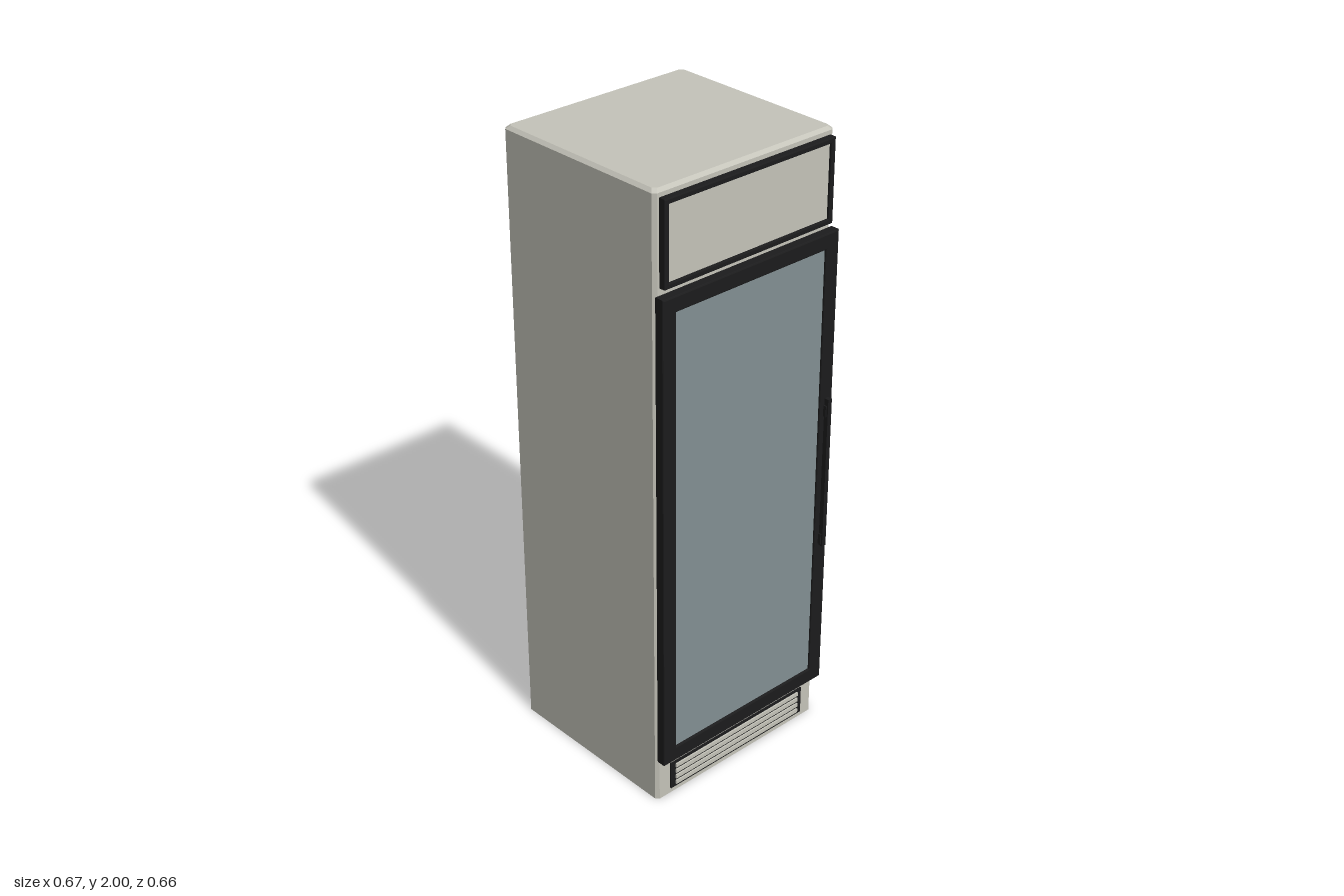
import * as THREE from 'three';

const mat = (name, color) => {
  const m = new THREE.MeshStandardMaterial({ color });
  m.name = name;
  return m;
};

export function createModel() {
  const body = mat('warm grey enamel', 0xc5c4ba);
  const dark = mat('black trim', 0x1c1c1d);
  const glassMat = mat('tinted glass', 0x839093);

  const model = new THREE.Group();
  model.name = 'displayFridge';

  const add = (name, geometry, material, x = 0, y = 0, z = 0, parent = model) => {
    const mesh = new THREE.Mesh(geometry, material);
    mesh.name = name;
    mesh.position.set(x, y, z);
    parent.add(mesh);
    return mesh;
  };
  // Box given by its extents
  const box = (name, material, [x0, x1], [y0, y1], [z0, z1], parent) =>
    add(name, new THREE.BoxGeometry(x1 - x0, y1 - y0, z1 - z0), material,
      (x0 + x1) / 2, (y0 + y1) / 2, (z0 + z1) / 2, parent);

  // Rectangular frame with a bevelled rim
  const frame = (name, hw, y0, y1, border, z0, z1, bevel) => {
    const rect = (Type, w, a, b) => {
      const p = new Type();
      p.moveTo(-w, a).lineTo(w, a).lineTo(w, b).lineTo(-w, b).closePath();
      return p;
    };
    const shape = rect(THREE.Shape, hw - bevel, y0 + bevel, y1 - bevel);
    const inner = border + bevel;
    shape.holes.push(rect(THREE.Path, hw - border + bevel, y0 + inner - 2 * bevel, y1 - inner + 2 * bevel));
    const geo = new THREE.ExtrudeGeometry(shape, {
      depth: z1 - z0 - 2 * bevel, bevelThickness: bevel, bevelSize: bevel, bevelSegments: 2,
    });
    return add(name, geo, dark, 0, 0, z0 + bevel);
  };

  // Cabinet: chamfered rings from the recessed underside, around the rim, to the top
  const X = 0.333, ZB = -0.333, ZF = 0.283, C = 0.01;
  const ring = (inset, y) => {
    const x = X - inset, b = ZB + inset, f = ZF - inset;
    return [[x, b + C], [x, f - C], [x - C, f], [-x + C, f], [-x, f - C], [-x, b + C], [-x + C, b], [x - C, b]]
      .map(([px, pz]) => [px, y, pz]);
  };
  const centre = (y) => Array(8).fill([0, y, (ZB + ZF) / 2]);
  const rings = [centre(0.17), ring(0.01, 0.17), ring(0.01, 0), ring(0, 0),
    ring(0, 2 - C), ring(C, 2), centre(2)];
  const pos = [];
  for (let r = 0; r < rings.length - 1; r++) {
    const a = rings[r], b = rings[r + 1];
    for (let i = 0; i < 8; i++) {
      const j = (i + 1) % 8;
      if (r < rings.length - 2 || a[i] !== a[j]) {
        if (a[i] !== a[j]) pos.push(...a[i], ...b[i], ...a[j]);
        if (b[i] !== b[j]) pos.push(...a[j], ...b[i], ...b[j]);
      }
    }
  }
  const cabinetGeo = new THREE.BufferGeometry();
  cabinetGeo.setAttribute('position', new THREE.Float32BufferAttribute(pos, 3));
  cabinetGeo.computeVertexNormals();
  add('cabinet', cabinetGeo, body);

  // Header panel
  frame('headerFrame', 0.316, 1.72, 1.977, 0.016, 0.28, 0.305, 0.003);
  box('headerPanel', body, [-0.302, 0.302], [1.734, 1.963], [0.28, 0.297]);

  // Glass door
  frame('doorFrame', 0.333, 0.15, 1.70, 0.049, 0.283, 0.316, 0.004);
  box('doorGlass', glassMat, [-0.286, 0.286], [0.197, 1.656], [0.284, 0.309]);

  // Door handle on two mounts
  const handle = new THREE.Group();
  handle.name = 'handle';
  model.add(handle);
  box('handleBar', dark, [0.302, 0.317], [0.66, 1.17], [0.316, 0.331], handle);
  for (const y of [0.685, 1.13])
    box('handleMount', dark, [0.298, 0.32], [y - 0.018, y + 0.018], [0.314, 0.326], handle);

  // Lower vent with light slats
  box('ventPanel', dark, [-0.28, 0.28], [0.018, 0.114], [0.268, 0.287]);
  for (let i = 0; i < 4; i++) {
    const y = 0.034 + i * 0.0215;
    box('ventSlat', body, [-0.262, 0.262], [y - 0.0065, y + 0.0065], [0.284, 0.292]);
  }
  return model;
}
